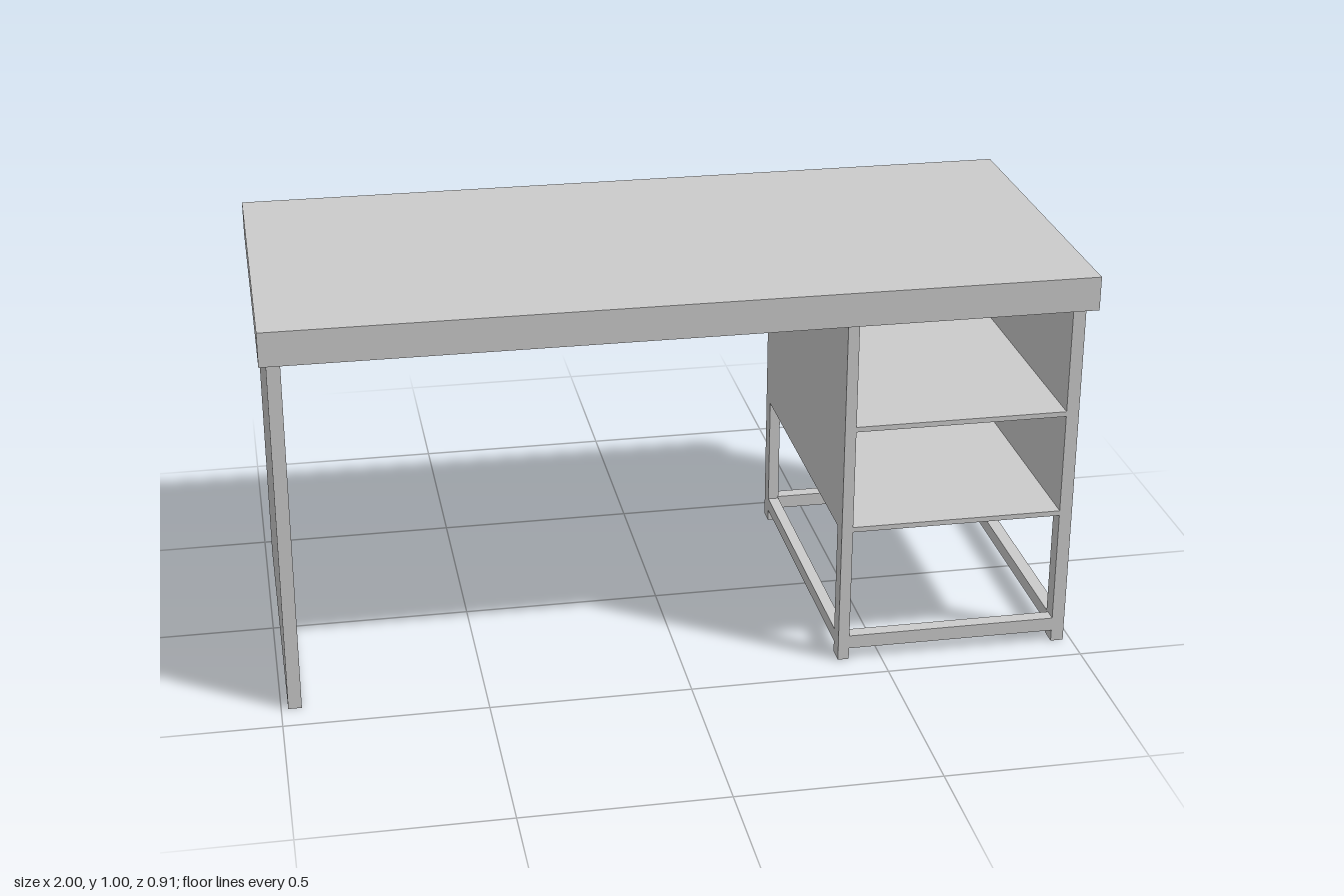
import * as THREE from 'three';

const material = new THREE.MeshStandardMaterial({ color: 0xcccccc, flatShading: true });

// Main levels and depths
const FRONT = 0.42, BACK = -0.435, UNDER_TOP = 0.915;
const POST = 0.045, FOOT = 0.03, RAIL_TOP = 0.065, CABINET_BASE = 0.355;

export function createModel() {
  const desk = new THREE.Group();
  desk.name = 'desk';

  const add = (parent, name, geometry) => {
    const mesh = new THREE.Mesh(geometry, material);
    mesh.name = name;
    parent.add(mesh);
    return mesh;
  };

  // Box given by its lower and upper limits on each axis
  const box = (parent, name, [x0, x1], [y0, y1], [z0, z1]) => {
    const mesh = add(parent, name, new THREE.BoxGeometry(x1 - x0, y1 - y0, z1 - z0));
    mesh.position.set((x0 + x1) / 2, (y0 + y1) / 2, (z0 + z1) / 2);
    return mesh;
  };

  const points = (list) => list.map(([z, y]) => new THREE.Vector2(z, y));

  // Table top, left-open leg panel and modesty panel
  box(desk, 'tableTop', [-1, 1], [UNDER_TOP, 1], [-0.455, 0.455]);
  box(desk, 'legPanel', [-0.983, -0.95], [0, UNDER_TOP], [BACK, FRONT]);
  box(desk, 'modestyPanel', [-0.95, 0.39], [0.628, UNDER_TOP], [BACK, BACK + 0.025]);

  const cabinet = new THREE.Group();
  cabinet.name = 'cabinet';
  desk.add(cabinet);

  // Cabinet side: solid above, open frame with feet below
  const z0 = BACK + POST, z1 = FRONT - POST;
  const sideShape = new THREE.Shape(points([
    [BACK, 0], [z0, 0], [z0, FOOT], [z1, FOOT], [z1, 0],
    [FRONT, 0], [FRONT, UNDER_TOP], [BACK, UNDER_TOP],
  ]));
  sideShape.holes.push(new THREE.Path(points([
    [z0, RAIL_TOP], [z0, CABINET_BASE], [z1, CABINET_BASE], [z1, RAIL_TOP],
  ])));
  for (const [name, x0, x1] of [['innerSide', 0.39, 0.418], ['outerSide', 0.948, 0.98]]) {
    const geometry = new THREE.ExtrudeGeometry(sideShape, { depth: x1 - x0, bevelEnabled: false });
    geometry.rotateY(-Math.PI / 2);
    add(cabinet, name, geometry).position.x = x1;
  }

  // Back, shelves and the rails joining the two side frames
  const inside = [0.418, 0.948];
  box(cabinet, 'cabinetBack', inside, [CABINET_BASE, UNDER_TOP], [BACK, BACK + 0.025]);
  box(cabinet, 'bottomShelf', inside, [CABINET_BASE, 0.368], [BACK + 0.025, FRONT]);
  box(cabinet, 'middleShelf', inside, [0.625, 0.638], [BACK + 0.025, FRONT]);
  box(cabinet, 'frontRail', inside, [FOOT, RAIL_TOP], [FRONT - 0.035, FRONT]);
  box(cabinet, 'backRail', inside, [FOOT, RAIL_TOP], [BACK, BACK + 0.035]);

  return desk;
}
